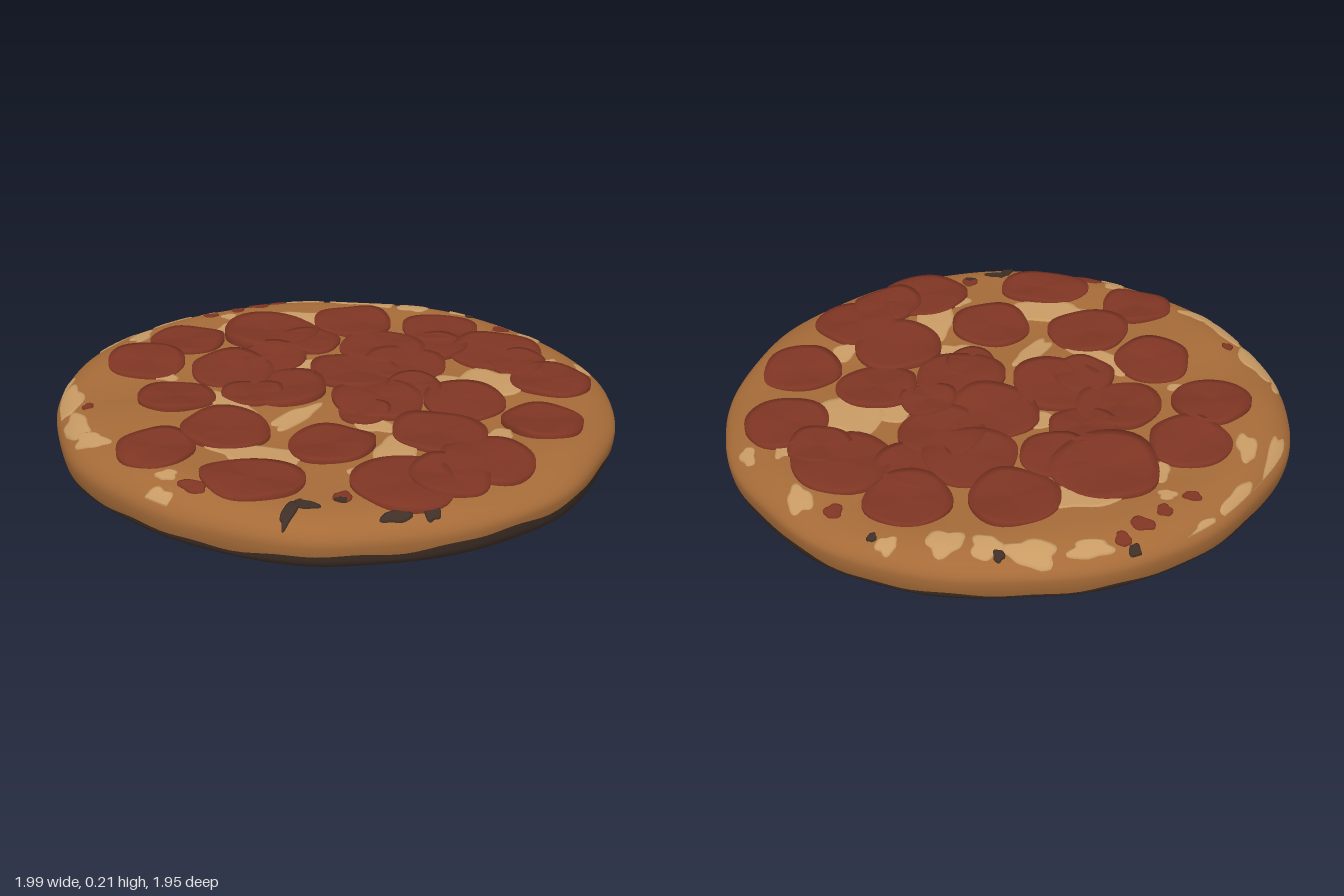
import * as THREE from 'three';

const MID = 0.08; // height of the widest part of the crust
const mat = (name, color) => {
  const m = new THREE.MeshStandardMaterial({ color });
  m.name = name;
  return m;
};

// Slightly uneven outline of the pie; angle 0 is +z, turning toward +x
const outline = (t) => 0.982 + 0.012 * Math.cos(2 * t + Math.PI) + 0.008 * Math.sin(3 * t + 0.6)
  + 0.005 * Math.sin(7 * t + 1) + 0.003 * Math.sin(13 * t);

// Baked, uneven upper surface
function surface(x, z) {
  const rho = Math.min(1, Math.hypot(x, z) / outline(Math.atan2(x, z)));
  const top = 0.162 - 0.012 * x + 0.006 * z
    + 0.007 * Math.sin(7 * x + 2 * z + 1) * Math.cos(6 * z - x) + 0.004 * Math.sin(13 * z + 5 * x);
  const k = Math.max(0, (rho - 0.84) / 0.16);
  return MID + (top - MID) * Math.sqrt(1 - k * k);
}

// Skin closed rings, running from the centre outward, with smooth normals
function rings(nu, nv, point) {
  const pos = [], idx = [];
  for (let i = 0; i <= nu; i++) {
    for (let j = 0; j < nv; j++) pos.push(...point(i, (j / nv) * Math.PI * 2));
  }
  for (let i = 0; i < nu; i++) {
    for (let j = 0; j < nv; j++) {
      const k = (j + 1) % nv, a = i * nv + j, b = a + nv, c = (i + 1) * nv + k, d = i * nv + k;
      idx.push(a, b, c, a, c, d);
    }
  }
  const g = new THREE.BufferGeometry();
  g.setAttribute('position', new THREE.Float32BufferAttribute(pos, 3));
  g.setIndex(idx);
  g.computeVertexNormals();
  return g;
}

// Ragged upper limit of the scorched underside, highest at the front right
const scorch = (t) => 0.026 + 0.03 * Math.max(0, Math.cos(t - 1.1))
  + 0.005 * Math.sin(11 * t) + 0.004 * Math.sin(23 * t + 1);

function sidePoint(t, y) {
  const k = (MID - y) / MID;
  const r = outline(t) * (1 - 0.018 * k * k);
  return [r * Math.sin(t), y, r * Math.cos(t)];
}

// Thin irregular patch laid over the surface
function patch([x0, z0, rx, rz = rx, turn = 0], seed, wobble, lift, shape) {
  const n = 7;
  return rings(n, 36, (i, t) => {
    const u = Math.min(1, i / (n - 1));
    const e = u * (1 + wobble * (Math.sin(3 * t + seed) + 0.6 * Math.sin(5 * t + seed * 2.3)));
    const a = Math.sin(t) * rx * e, b = Math.cos(t) * rz * e;
    let x = x0 + a * Math.cos(turn) - b * Math.sin(turn);
    let z = z0 + a * Math.sin(turn) + b * Math.cos(turn);
    const over = Math.hypot(x, z) / (0.985 * outline(Math.atan2(x, z)));
    if (over > 1) { x /= over; z /= over; }
    const y = surface(x, z);
    return [x, i === n ? y - 0.003 : y + lift + (shape ? shape(u, t) : 0), z];
  });
}

export function createModel() {
  const crust = mat('baked crust', 0xa66b38);
  const meat = mat('sausage red', 0x7f3523);
  const cheese = mat('pale cheese', 0xc99b64);
  const char = mat('scorched brown', 0x3f2f26);
  const pizza = new THREE.Group();
  pizza.name = 'pizza';
  const add = (name, geometry, material, parent = pizza) => {
    const m = new THREE.Mesh(geometry, material);
    m.name = name;
    parent.add(m);
    return m;
  };
  const group = (name) => {
    const g = new THREE.Group();
    g.name = name;
    pizza.add(g);
    return g;
  };

  // Dough: upper surface, rounded rim and side wall
  add('crust', rings(44, 160, (i, t) => {
    if (i > 38) return sidePoint(t, MID + (scorch(t) - MID) * (i - 38) / 6);
    const rho = i <= 24 ? 0.84 * i / 24 : 0.84 + 0.16 * Math.sin((i - 24) / 14 * Math.PI / 2);
    const r = rho * outline(t), x = r * Math.sin(t), z = r * Math.cos(t);
    return [x, i === 38 ? MID : surface(x, z), z];
  }), crust);

  // Scorched lower edge and underside
  add('underside', rings(8, 160, (i, t) => {
    const low = 0.008 - 0.008 * Math.sin(t + 0.3);
    if (i < 3) return sidePoint(t, scorch(t) + (low - scorch(t)) * i / 2 * 0.95);
    const r = outline(t) * 0.97 * (8 - i) / 5;
    return [r * Math.sin(t), 0.008 + (low - 0.008) * (8 - i) / 5, r * Math.cos(t)];
  }), char);

  // Sausage slices: x, z, radius (and second radius)
  const slices = [
    [-0.07, -0.63, 0.15], [0.27, -0.65, 0.145], [0.51, -0.47, 0.17], [0.74, -0.25, 0.145],
    [0.75, 0.1, 0.14], [0.46, 0, 0.145], [0.6, 0.44, 0.155], [0.37, 0.66, 0.165], [0.42, 0.28, 0.16],
    [0.085, 0.45, 0.145], [-0.28, 0.42, 0.15], [-0.46, 0.62, 0.13], [-0.1, 0.75, 0.17, 0.125],
    [-0.52, 0.22, 0.135], [-0.72, -0.045, 0.14], [-0.64, -0.29, 0.14], [-0.36, -0.45, 0.18],
    [-0.4, -0.07, 0.15], [-0.18, 0.05, 0.16], [0.04, -0.15, 0.165], [0.2, -0.27, 0.15],
    [0.09, -0.41, 0.16], [-0.19, -0.39, 0.12], [-0.28, -0.21, 0.12], [0.27, -0.47, 0.13],
    [0.17, 0.07, 0.16], [-0.27, 0.12, 0.11], [0.14, 0.18, 0.09], [0.5, 0.58, 0.13],
    [0.27, -0.08, 0.1], [0.6, -0.38, 0.11],
  ];
  const sausage = group('sausageSlices');
  slices.forEach((s, i) => {
    const bump = i === 16 ? 0.03 : 0.012 + 0.004 * Math.sin(i * 5);
    add('sausageSlice', patch(s, i * 1.7, 0.03, 0.012, (u, t) =>
      bump * u * (0.45 + 0.55 * Math.sin(t + i * 2.1)) * (1 - 0.25 * u)
      + 0.005 * u * Math.sin(3 * t + i)), meat, sausage);
  });

  // Melted cheese: x, z, two radii, turn
  const melted = [
    [-0.27, -0.62, 0.13, 0.06, -0.1], [-0.14, -0.88, 0.08, 0.045], [0.13, -0.86, 0.06, 0.05, -0.2],
    [-0.32, -0.85, 0.07, 0.03, -0.3], [0.31, -0.87, 0.035, 0.03], [0.0, -0.87, 0.05, 0.045],
    [0.53, -0.17, 0.12, 0.13], [0.38, -0.15, 0.07, 0.06], [-0.15, -0.18, 0.07, 0.05],
    [-0.33, 0.22, 0.13, 0.05, 0.6], [-0.08, 0.27, 0.04, 0.11, 0.5], [-0.12, 0.57, 0.17, 0.07],
    [0.3, 0.46, 0.07, 0.12], [0.25, 0.62, 0.06, 0.05], [0.18, 0.25, 0.09, 0.05, 0.5],
    [-0.9, 0.28, 0.05, 0.12, -0.3], [-0.79, 0.48, 0.04, 0.1, -0.6], [-0.7, 0.58, 0.07, 0.035, 0.4],
    [-0.92, -0.33, 0.025, 0.15, 0.25], [-0.79, -0.55, 0.03, 0.09, 0.5], [-0.68, -0.69, 0.06, 0.02, -0.8],
    [-0.83, -0.3, 0.035, 0.07], [-0.53, -0.46, 0.04, 0.06, 0.5], [-0.38, 0.87, 0.05, 0.035],
    [-0.37, 0.78, 0.035, 0.025], [0.62, -0.66, 0.04, 0.06, -0.5], [0.84, -0.42, 0.025, 0.05, -0.4],
    [0.72, -0.4, 0.03, 0.05], [0.61, 0.24, 0.04, 0.07, 0.5], [-0.62, 0.05, 0.05, 0.03],
    [-0.96, 0.14, 0.015, 0.06], [0.4, -0.53, 0.04, 0.06], [-0.56, -0.58, 0.03, 0.025],
  ];
  const cheeseGroup = group('meltedCheese');
  melted.forEach((s, i) => add('cheesePatch', patch(s, i * 2.3 + 1, 0.14, 0.005), cheese, cheeseGroup));

  // Small sausage crumbs near the rim
  const crumbs = [
    [-0.48, -0.73, 0.04, 0.025], [-0.55, -0.66, 0.025], [-0.64, -0.58, 0.03, 0.02], [0.5, -0.72, 0.03],
    [-0.8, 0.35, 0.02], [0.2, 0.79, 0.03], [-0.27, 0.83, 0.05, 0.025, 0.3], [-0.42, -0.8, 0.025],
  ];
  const crumbGroup = group('sausageCrumbs');
  crumbs.forEach((s, i) => add('sausageCrumb', patch(s, i, 0.1, 0.006), meat, crumbGroup));

  // Burnt spots on the rim
  const burns = [
    [0.06, 0.9, 0.02, 0.06, 0.2], [0.1, 0.86, 0.04, 0.018], [0.38, 0.84, 0.05, 0.02, -0.5],
    [0.48, 0.79, 0.025, 0.03], [0.2, 0.81, 0.02, 0.012], [-0.46, -0.83, 0.02], [-0.04, -0.9, 0.018],
    [0.36, -0.84, 0.015],
  ];
  const burnGroup = group('burntSpots');
  burns.forEach((s, i) => add('burntSpot', patch(s, i * 3, 0.12, 0.007), char, burnGroup));

  return pizza;
}
